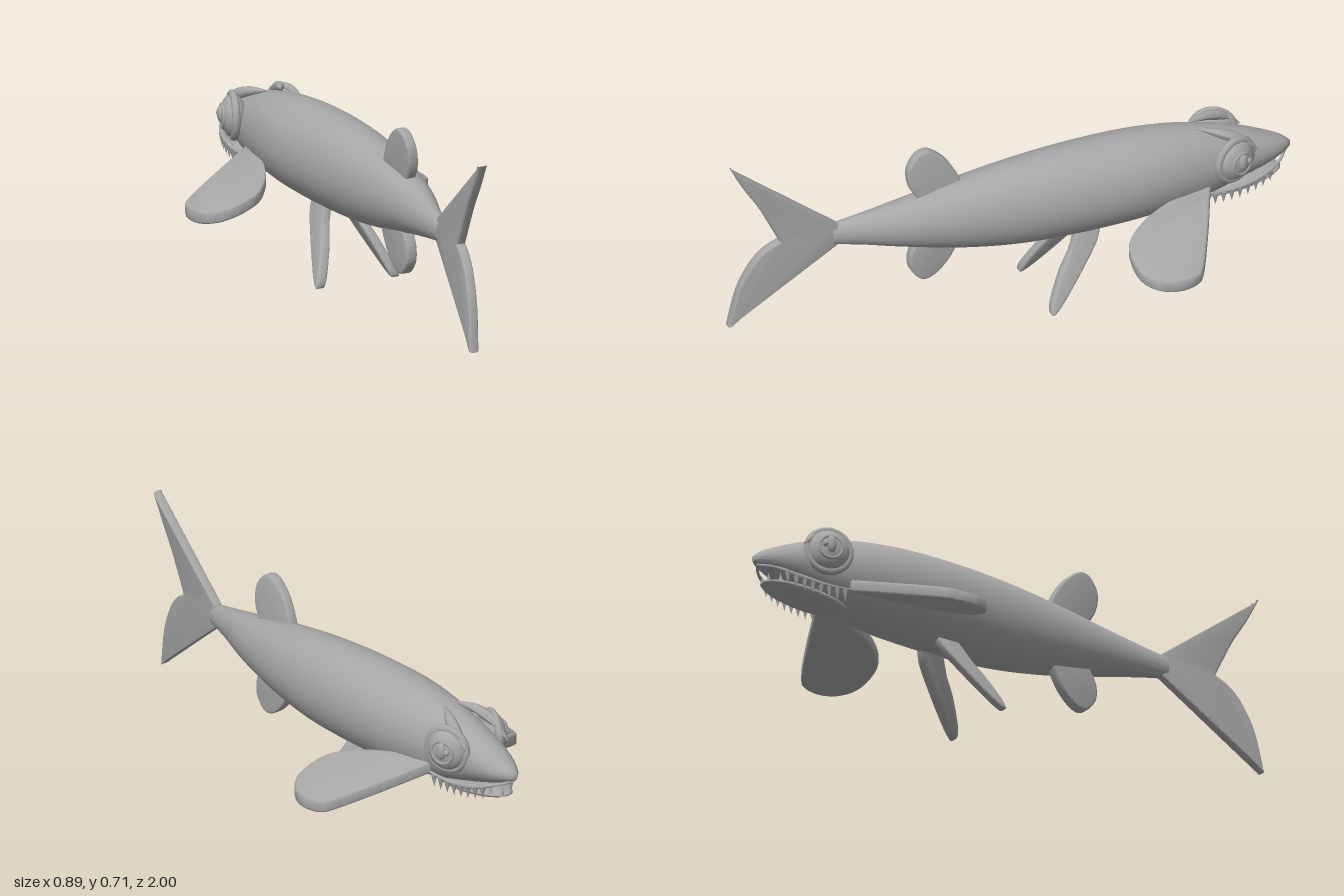
import * as THREE from 'three';
import { mergeVertices, toCreasedNormals } from 'three/addons/utils/BufferGeometryUtils.js';

const grey = new THREE.MeshStandardMaterial({ color: 0xa6a6a6 });
grey.name = 'grey skin';

const V = (x, y, z) => new THREE.Vector3(x, y, z);
const pts = list => list.map(([a, b]) => new THREE.Vector2(a, b));

function add(parent, name, geometry) {
  const mesh = new THREE.Mesh(geometry, grey);
  mesh.name = name;
  parent.add(mesh);
  return mesh;
}

// Move every vertex by a rule, then rebuild the normals
function deform(geo, rule, crease = 0.7) {
  geo.deleteAttribute('uv');
  geo.deleteAttribute('normal');
  const p = geo.attributes.position, v = V(0, 0, 0);
  for (let i = 0; i < p.count; i++) {
    v.fromBufferAttribute(p, i);
    rule(v);
    p.setXYZ(i, v.x, v.y, v.z);
  }
  return toCreasedNormals(mergeVertices(geo, 1e-5), crease);
}

// Slab with softened rims, centred on its thickness
function slab(shape, thickness) {
  const bevel = 0.008;
  return new THREE.ExtrudeGeometry(shape, {
    depth: thickness - 2 * bevel, bevelEnabled: true, bevelThickness: bevel,
    bevelSize: bevel, bevelOffset: -bevel, bevelSegments: 3, curveSegments: 16,
  }).translate(0, 0, bevel - thickness / 2);
}

// Upright fin drawn as [z, y] points; bend gives its x at each point
function uprightFin(shape, thickness, bend) {
  return deform(slab(shape, thickness).rotateY(Math.PI / 2), v => { v.x += bend(v.y, v.z); });
}

// Outline: start point, then a smooth run through the rest
function roundShape(list) {
  const [first, ...rest] = pts(list);
  return new THREE.Shape().moveTo(first.x, first.y).splineThru(rest).closePath();
}
const flipZ = list => list.map(([z, y]) => [-z, y]);

// Tube that thins out towards both ends
function taperedTube(curve, radius, end = 0.1) {
  const steps = 24, sides = 10;
  const geo = new THREE.TubeGeometry(curve, steps, radius, sides);
  const p = geo.attributes.position, v = V(0, 0, 0);
  for (let i = 0; i < p.count; i++) {
    const t = Math.floor(i / (sides + 1)) / steps, c = curve.getPointAt(t);
    v.fromBufferAttribute(p, i).sub(c).multiplyScalar(Math.max(end, Math.sin(Math.PI * t))).add(c);
    p.setXYZ(i, v.x, v.y, v.z);
  }
  geo.computeVertexNormals();
  return geo;
}

function bodyGeometry() {
  // z, centre x, top y, bottom y, half width
  const stations = [
    [-1, 0, 0.385, 0.365, 0.008], [-0.97, 0, 0.41, 0.35, 0.035], [-0.9, 0, 0.445, 0.325, 0.066],
    [-0.8, 0, 0.487, 0.295, 0.088], [-0.68, 0, 0.522, 0.262, 0.11], [-0.55, 0, 0.546, 0.245, 0.132],
    [-0.4, 0, 0.558, 0.235, 0.145], [-0.2, 0, 0.56, 0.231, 0.142], [0, -0.003, 0.548, 0.237, 0.128],
    [0.2, -0.012, 0.52, 0.262, 0.105], [0.4, -0.03, 0.478, 0.3, 0.073], [0.55, -0.055, 0.442, 0.327, 0.042],
    [0.65, -0.07, 0.42, 0.342, 0.026],
  ];
  const height = new THREE.CatmullRomCurve3(stations.map(s => V(s[0], s[2], s[3])), false, 'catmullrom');
  const width = new THREE.CatmullRomCurve3(stations.map(s => V(s[0], s[1], s[4])), false, 'catmullrom');
  const geo = new THREE.CylinderGeometry(1, 1, 1, 40, 60).rotateX(Math.PI / 2);
  return deform(geo, v => {
    const t = THREE.MathUtils.clamp(v.z + 0.5, 0, 1);
    const h = height.getPoint(t), w = width.getPoint(t);
    v.set(w.y + w.z * v.x, (h.y + h.z) / 2 + v.y * (h.y - h.z) / 2, h.x);
  }, 0.9);
}

function addEye(parent, side) {
  const eye = new THREE.Group();
  eye.name = side > 0 ? 'leftEye' : 'rightEye';
  eye.position.set(side * 0.1, 0.428, -0.76);
  eye.rotation.y = side * THREE.MathUtils.degToRad(110);
  add(eye, 'eyeball', new THREE.SphereGeometry(0.074, 28, 18).scale(1, 1, 0.6));
  add(eye, 'eyelidRing', new THREE.TorusGeometry(0.074, 0.014, 10, 36));
  add(eye, 'iris', new THREE.TorusGeometry(0.04, 0.006, 8, 28).translate(0, 0, 0.036));
  add(eye, 'pupil', new THREE.SphereGeometry(0.022, 16, 12).scale(0.8, 1.4, 0.6).translate(0, 0.008, 0.042));
  add(eye, 'glint', new THREE.SphereGeometry(0.01, 12, 8).translate(side * 0.022, 0.006, 0.045));
  parent.add(eye);
}

export function createModel() {
  const fish = new THREE.Group();
  fish.name = 'fish';
  add(fish, 'body', bodyGeometry());

  // Lower jaw
  const jaw = new THREE.SphereGeometry(1, 28, 16).scale(0.074, 0.022, 0.18).rotateX(0.09);
  add(fish, 'lowerJaw', jaw.translate(0, 0.282, -0.785));

  // Forked tail, swung to one side
  const tail = new THREE.Shape().moveTo(-0.63, 0.425).lineTo(-1, 0.706);
  tail.splineThru(pts([[-0.955, 0.62], [-0.9, 0.53], [-0.855, 0.44], [-0.83, 0.387]]));
  tail.splineThru(pts([[-0.88, 0.355], [-0.925, 0.3], [-0.97, 0.2], [-1, 0.053]]));
  tail.lineTo(-0.63, 0.342).closePath();
  add(fish, 'tailFin', uprightFin(tail, 0.036, (y, z) => -0.068 - (z - 0.64) * 0.155 + (y - 0.38) * 0.05));

  // Fins above and below the rear body
  const dorsal = roundShape(flipZ([[0.19, 0.5], [0.205, 0.54], [0.245, 0.605], [0.3, 0.65], [0.345, 0.648],
    [0.38, 0.605], [0.386, 0.56], [0.375, 0.515], [0.34, 0.46]]));
  add(fish, 'dorsalFin', uprightFin(dorsal, 0.038, (y, z) => -0.03 - (y - 0.5) * 0.09));
  const anal = roundShape(flipZ([[0.19, 0.3], [0.205, 0.26], [0.24, 0.2], [0.29, 0.153], [0.335, 0.146],
    [0.372, 0.185], [0.38, 0.225], [0.37, 0.27], [0.33, 0.33]]));
  add(fish, 'analFin', uprightFin(anal, 0.042, () => -0.038));

  for (const side of [1, -1]) {
    const label = side > 0 ? 'left' : 'right';

    // Broad drooping pectoral fin
    const pectoral = roundShape([[0.1, 0.67], [0.26, 0.595], [0.4, 0.522], [0.436, 0.485], [0.447, 0.42],
      [0.43, 0.355], [0.385, 0.308], [0.32, 0.295], [0.25, 0.31], [0.195, 0.365], [0.15, 0.44], [0.1, 0.57]]
      .map(([x, z]) => [side * x, z]));
    add(fish, label + 'PectoralFin', deform(slab(pectoral, 0.044).rotateX(-Math.PI / 2), v => {
      v.y += 0.318 - 0.33 * (Math.abs(v.x) - 0.12);
    }));

    // Narrow pelvic fin slanting down and back
    const pelvic = roundShape(flipZ([[-0.29, 0.27], [-0.265, 0.21], [-0.21, 0.14], [-0.13, 0.05], [-0.085, 0.008],
      [-0.067, 0.006], [-0.075, 0.045], [-0.12, 0.13], [-0.17, 0.2], [-0.2, 0.27]]));
    add(fish, label + 'PelvicFin', uprightFin(pelvic, 0.036, y => side * (0.147 - 0.4 * y)));

    addEye(fish, side);

    // Slanted brow blade
    const brow = new THREE.CatmullRomCurve3([V(side * 0.088, 0.435, -0.855), V(side * 0.082, 0.482, -0.8),
      V(side * 0.062, 0.515, -0.73), V(side * 0.022, 0.532, -0.65)]);
    add(fish, label + 'Brow', taperedTube(brow, 0.019));

    // Lip with a row of teeth hanging from it
    const lip = new THREE.CatmullRomCurve3([V(0, 0.355, -0.985), V(side * 0.045, 0.341, -0.945),
      V(side * 0.074, 0.318, -0.87), V(side * 0.09, 0.304, -0.77), V(side * 0.1, 0.31, -0.65)]);
    add(fish, label + 'Lip', taperedTube(lip, 0.01, 0.5));
    for (let i = 0; i < 8; i++) {
      const c = lip.getPointAt(0.3 + i * 0.085);
      const tooth = new THREE.ConeGeometry(0.011, 0.045, 8).rotateX(Math.PI);
      add(fish, label + 'UpperTooth', tooth.translate(c.x, c.y - 0.024, c.z));
    }
    for (let i = 0; i < 2; i++) {
      const tooth = new THREE.ConeGeometry(0.009, 0.035, 8);
      add(fish, label + 'LowerTooth', tooth.translate(side * (0.018 + i * 0.022), 0.312, -0.95 + i * 0.035));
    }
  }
  return fish;
}
